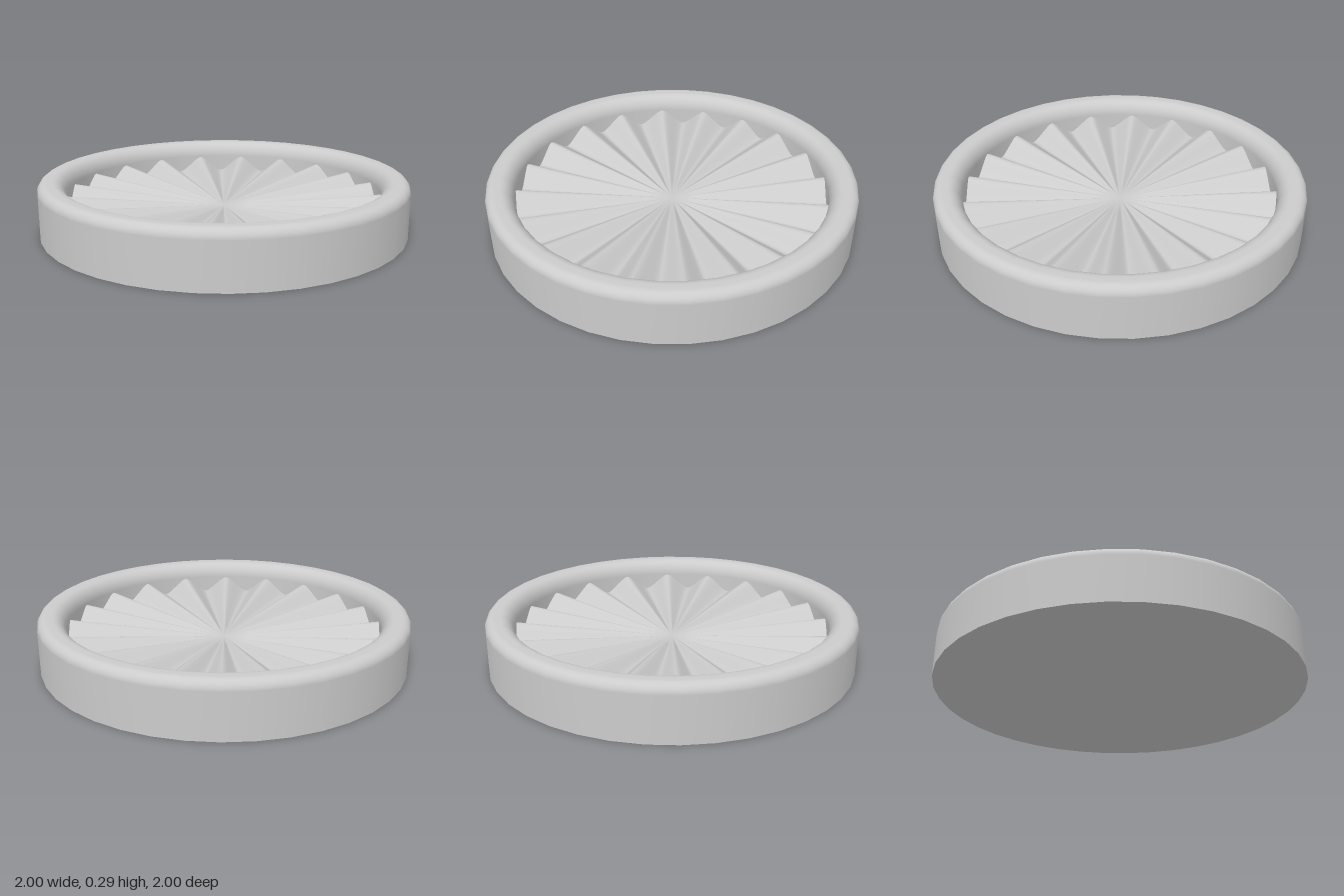
import * as THREE from 'three';
import { mergeVertices } from 'three/addons/utils/BufferGeometryUtils.js';

const SIDES = 40, PLEATS = 20;
const INNER = 0.85, HEIGHT = 0.29, FLOOR = 0.11, RISE = 0.09;

// quarter-ellipse points about (cx, cy) from angle a0 to a1
function fillet(cx, cy, rx, ry, a0, a1, steps = 8) {
  return Array.from({ length: steps + 1 }, (_, i) => {
    const a = a0 + (a1 - a0) * i / steps;
    return new THREE.Vector2(cx + rx * Math.cos(a), cy + ry * Math.sin(a));
  });
}

// triangle wave with softened peaks, 0 to 1, with a valley at angle 0
function pleatWave(angle) {
  const k = 0.92;
  return 0.5 - 0.5 * Math.asin(k * Math.cos(PLEATS * angle)) / Math.asin(k);
}

export function createModel() {
  const model = new THREE.Group();
  const material = new THREE.MeshStandardMaterial({ color: 0xcccccc });
  const add = (name, geometry) => {
    const mesh = new THREE.Mesh(geometry, material);
    mesh.name = name;
    model.add(mesh);
  };

  // rim: outer wall, rounded top, softer inner lip and inner wall
  const profile = [
    new THREE.Vector2(1, 0),
    ...fillet(0.95, HEIGHT - 0.05, 0.05, 0.05, 0, Math.PI / 2),
    ...fillet(0.92, HEIGHT - 0.085, 0.07, 0.085, Math.PI / 2, Math.PI),
    new THREE.Vector2(INNER, 0.05),
  ];
  add('rim', new THREE.LatheGeometry(profile, SIDES));

  // flat underside
  add('base', new THREE.CircleGeometry(1, SIDES).rotateX(Math.PI / 2));

  // radial pleats rising from the centre towards the rim
  let pleats = new THREE.RingGeometry(0, INNER, PLEATS * 16, 6).rotateX(-Math.PI / 2);
  const p = pleats.attributes.position;
  for (let i = 0; i < p.count; i++) {
    const x = p.getX(i), z = p.getZ(i);
    const reach = Math.hypot(x, z) / INNER;
    p.setY(i, FLOOR + RISE * reach * pleatWave(Math.atan2(z, x)));
  }
  pleats.deleteAttribute('uv');
  pleats.deleteAttribute('normal');
  pleats = mergeVertices(pleats);
  pleats.computeVertexNormals();
  add('pleatedInsert', pleats);

  return model;
}
